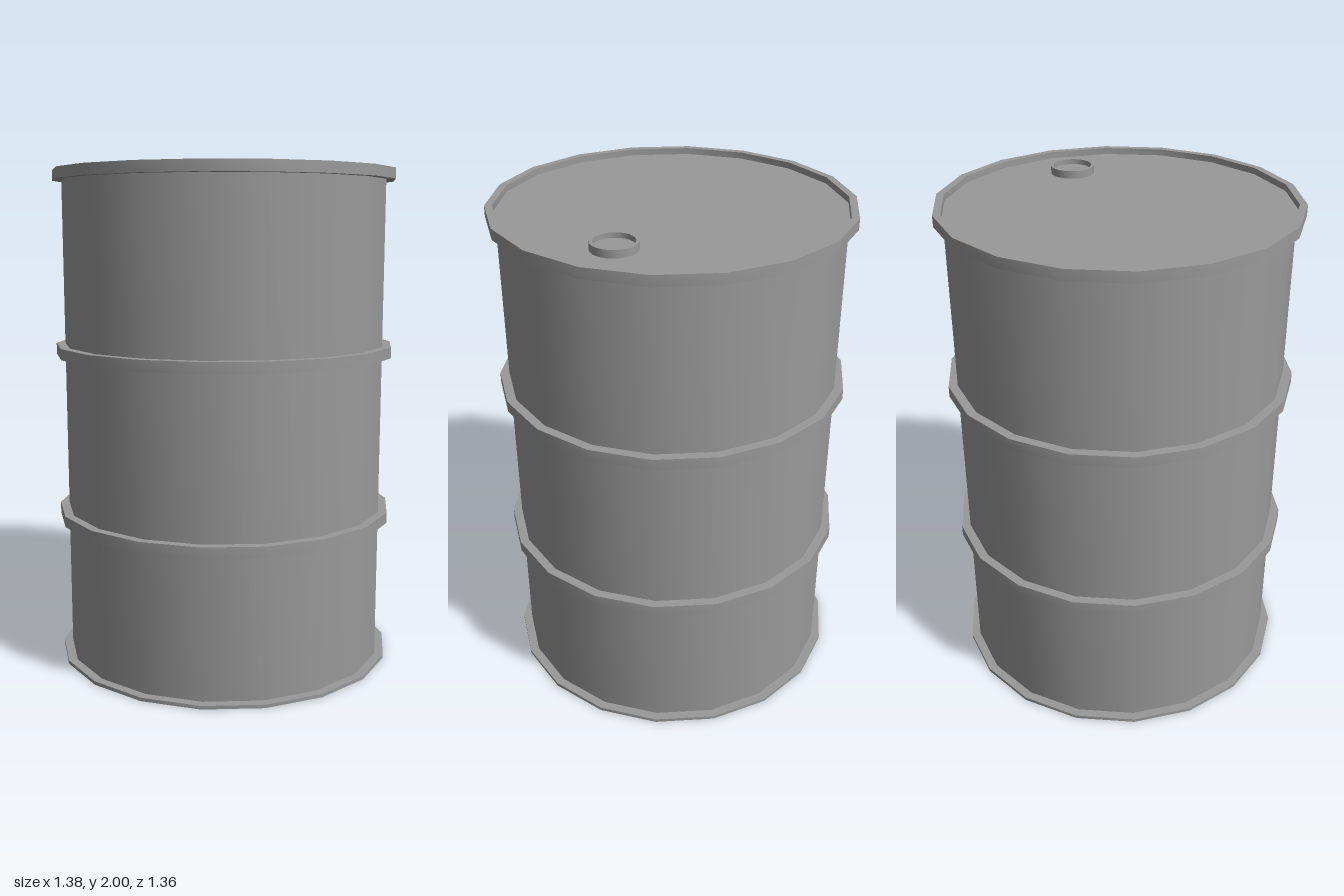
import * as THREE from 'three';
import { toCreasedNormals } from 'three/addons/utils/BufferGeometryUtils.js';

const SIDES = 18;
const BODY_R = 0.656, HOOP_R = 0.692, RIM_INNER_R = 0.663;
const FLANGE_TOP = 0.014, LID_Y = 1.97, RIM_BOTTOM = 1.953, RIM_TOP = 1.995;

export function createModel() {
  const drum = new THREE.Group();
  drum.name = 'drum';
  const material = new THREE.MeshStandardMaterial({ color: 0x999999 });

  function add(name, geometry, parent = drum) {
    const mesh = new THREE.Mesh(geometry, material);
    mesh.name = name;
    parent.add(mesh);
    return mesh;
  }

  // Turned part: smooth around, sharp along the profile; a corner lies on +x
  function turned(name, profile, sides = SIDES, parent = drum) {
    const points = profile.map(([r, y]) => new THREE.Vector2(r, y));
    const lathe = new THREE.LatheGeometry(points, sides, Math.PI / 2);
    return add(name, toCreasedNormals(lathe, 0.6), parent);
  }

  // Flat disc facing up or down
  function disc(name, radius, y, sides = SIDES, parent = drum, up = true) {
    const geometry = new THREE.CircleGeometry(radius, sides);
    geometry.rotateX(up ? -Math.PI / 2 : Math.PI / 2);
    const mesh = add(name, geometry, parent);
    mesh.position.y = y;
    return mesh;
  }

  // Base plate with a thin flange
  disc('base', HOOP_R, 0, SIDES, drum, false);
  turned('baseFlange', [[HOOP_R, 0], [HOOP_R, FLANGE_TOP], [BODY_R, FLANGE_TOP]]);

  // Body wall
  turned('body', [[BODY_R, FLANGE_TOP], [BODY_R, RIM_BOTTOM]]);

  // Two hoops around the body
  for (const [name, y] of [['lowerHoop', 0.603], ['upperHoop', 1.278]]) {
    turned(name, [
      [BODY_R, y - 0.022], [HOOP_R, y - 0.022],
      [HOOP_R, y + 0.022], [BODY_R, y + 0.022],
    ]);
  }

  // Raised top rim around a recessed lid
  turned('topRim', [
    [BODY_R, RIM_BOTTOM], [HOOP_R, RIM_BOTTOM], [HOOP_R, RIM_TOP],
    [RIM_INNER_R, RIM_TOP], [RIM_INNER_R, LID_Y],
  ]);
  disc('lid', RIM_INNER_R, LID_Y);

  // Filler cap: a small ring with a sunken plug
  const cap = new THREE.Group();
  cap.name = 'fillerCap';
  cap.position.set(0.452, LID_Y, 0);
  drum.add(cap);
  turned('capRing', [[0.087, 0], [0.087, 0.03], [0.075, 0.03], [0.075, 0.01]], 24, cap);
  disc('capPlug', 0.075, 0.01, 24, cap);

  return drum;
}
